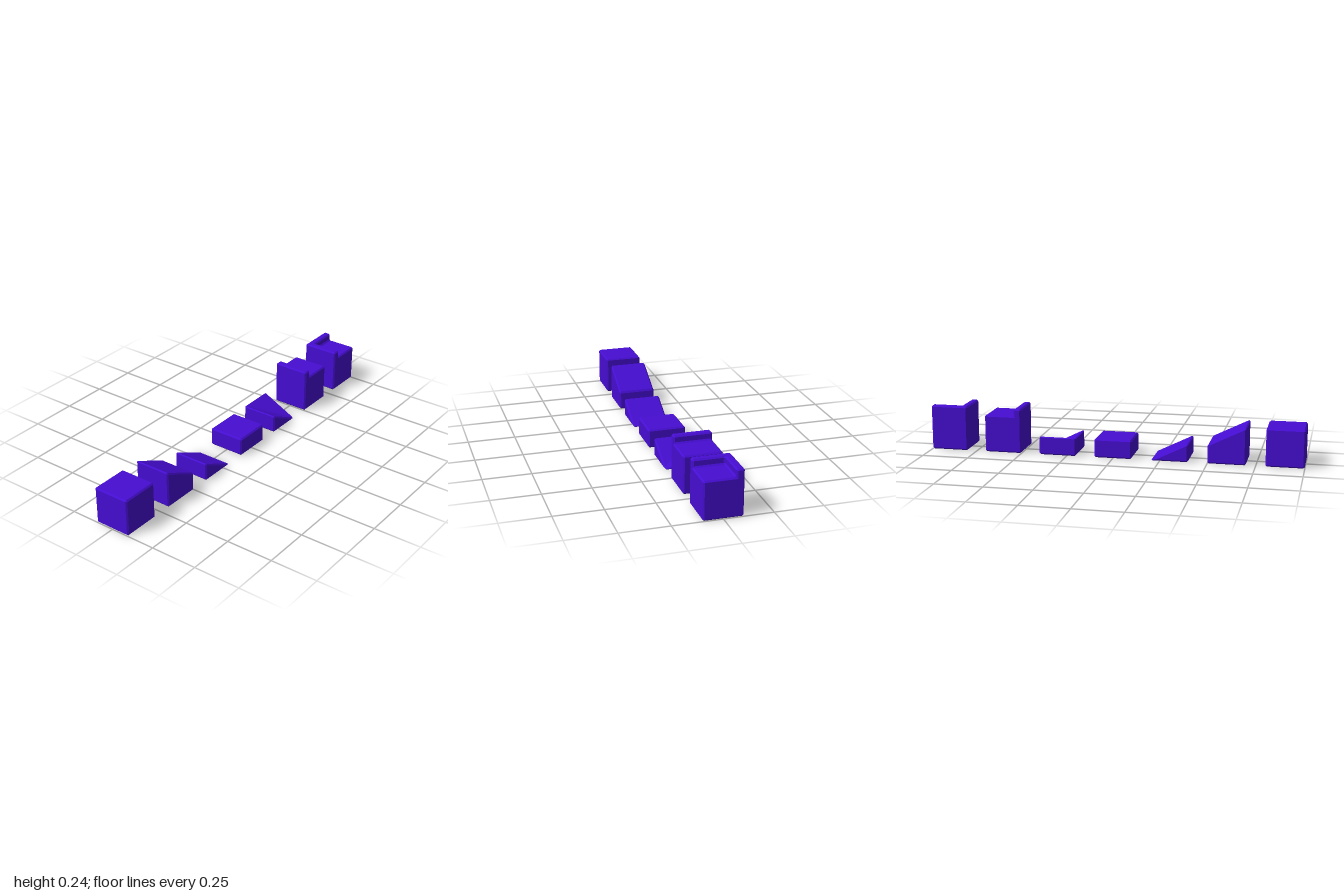
import * as THREE from 'three';

const BEVEL = 0.0075;
const S = 0.1; // half the side of a block

// Closed polyhedron with every edge chamfered: inset faces, edge strips, corner caps.
function beveledSolid(points, faces) {
  const pts = points.map(p => new THREE.Vector3(...p));
  const out = [];
  const push = (...vs) => vs.forEach(v => out.push(v.x, v.y, v.z));
  const fan = poly => {
    for (let i = 1; i < poly.length - 1; i++) push(poly[0], poly[i], poly[i + 1]);
  };
  const edgeFace = new Map(); // directed edge -> face index
  const inset = faces.map((face, f) => {
    const n = face.length;
    const normal = new THREE.Vector3();
    face.forEach((a, i) => {
      edgeFace.set(a + '_' + face[(i + 1) % n], f);
      normal.add(pts[a].clone().cross(pts[face[(i + 1) % n]]));
    });
    normal.normalize();
    const inward = (a, b) => normal.clone().cross(pts[b].clone().sub(pts[a]).normalize());
    const corners = {};
    face.forEach((a, i) => {
      const n1 = inward(face[(i + n - 1) % n], a);
      const n2 = inward(a, face[(i + 1) % n]);
      const k = BEVEL / (1 + n1.dot(n2));
      corners[a] = pts[a].clone().addScaledVector(n1.add(n2), k);
    });
    // Flat face
    const u = pts[face[1]].clone().sub(pts[face[0]]).normalize();
    const v = normal.clone().cross(u);
    const loop = face.map(a => corners[a]);
    const flat = loop.map(p => new THREE.Vector2(p.dot(u), p.dot(v)));
    for (const [a, b, c] of THREE.ShapeUtils.triangulateShape(flat, [])) push(loop[a], loop[b], loop[c]);
    return corners;
  });
  // Edge strips
  for (const [key, f] of edgeFace) {
    const [a, b] = key.split('_').map(Number);
    if (a > b) continue;
    const g = edgeFace.get(b + '_' + a);
    fan([inset[f][b], inset[f][a], inset[g][a], inset[g][b]]);
  }
  // Corner caps
  pts.forEach((_, a) => {
    const start = faces.findIndex(face => face.includes(a));
    const cap = [];
    let f = start;
    do {
      cap.push(inset[f][a]);
      const face = faces[f];
      const prev = face[(face.indexOf(a) + face.length - 1) % face.length];
      f = edgeFace.get(a + '_' + prev);
    } while (f !== start);
    fan(cap);
  });
  const geo = new THREE.BufferGeometry();
  geo.setAttribute('position', new THREE.Float32BufferAttribute(out, 3));
  geo.computeVertexNormals();
  return geo;
}

// Block whose side outline (anticlockwise in x, y) runs straight through z.
function prism(profile) {
  const n = profile.length;
  const points = [S, -S].flatMap(z => profile.map(([x, y]) => [x, y, z]));
  const front = profile.map((_, i) => i);
  const back = front.map(i => 2 * n - 1 - i);
  const sides = front.map(i => [i, i + n, (i + 1) % n + n, (i + 1) % n]);
  return beveledSolid(points, [front, back, ...sides]);
}

const base = [[-S, 0, S], [S, 0, S], [S, 0, -S], [-S, 0, -S]];

// Ramp sloping into one low corner, with a valley across it
function cornerRamp() {
  const h = 0.1;
  return beveledSolid(
    [...base, [-S, h, S], [S, h, -S], [-S, h, -S]],
    [[0, 3, 2, 1], [0, 1, 4], [1, 2, 5], [2, 3, 6, 5], [3, 0, 4, 6], [4, 1, 6], [1, 5, 6]]
  );
}

// Full block with a raised rim along two neighbouring edges
function cornerRimBlock() {
  const h = 0.2, t = 0.24, r = -0.06;
  return beveledSolid(
    [...base, [S, h, S], [r, h, S], [r, t, S], [-S, t, S], [-S, t, -S], [S, t, -S],
      [S, t, r], [S, h, r], [r, h, r], [r, t, r]],
    [[0, 3, 2, 1], [0, 1, 4, 5, 6, 7], [1, 2, 9, 10, 11, 4], [2, 3, 8, 9], [3, 0, 7, 8],
      [7, 6, 13, 10, 9, 8], [5, 4, 11, 12], [6, 5, 12, 13], [13, 12, 11, 10]]
  );
}

export function createModel() {
  const group = new THREE.Group();
  group.name = 'blockSet';
  const violet = new THREE.MeshStandardMaterial({ color: 0x460dd2 });
  violet.name = 'violet';

  // Seven blocks in a row
  const blocks = [
    ['fullBlock', prism([[-S, 0], [S, 0], [S, 0.2], [-S, 0.2]])],
    ['highRamp', prism([[-S, 0], [S, 0], [S, 0.1], [-S, 0.2]])],
    ['lowRamp', prism([[-S, 0], [S, 0], [-S, 0.1]])],
    ['halfBlock', prism([[-S, 0], [S, 0], [S, 0.1], [-S, 0.1]])],
    ['cornerRamp', cornerRamp()],
    ['edgeRimBlock', prism([[-S, 0], [S, 0], [S, 0.2], [-0.06, 0.2], [-0.06, 0.24], [-S, 0.24]])],
    ['cornerRimBlock', cornerRimBlock()],
  ];
  blocks.forEach(([name, geometry], i) => {
    const mesh = new THREE.Mesh(geometry, violet);
    mesh.name = name;
    mesh.position.x = -0.9 + i * 0.3;
    group.add(mesh);
  });
  return group;
}
